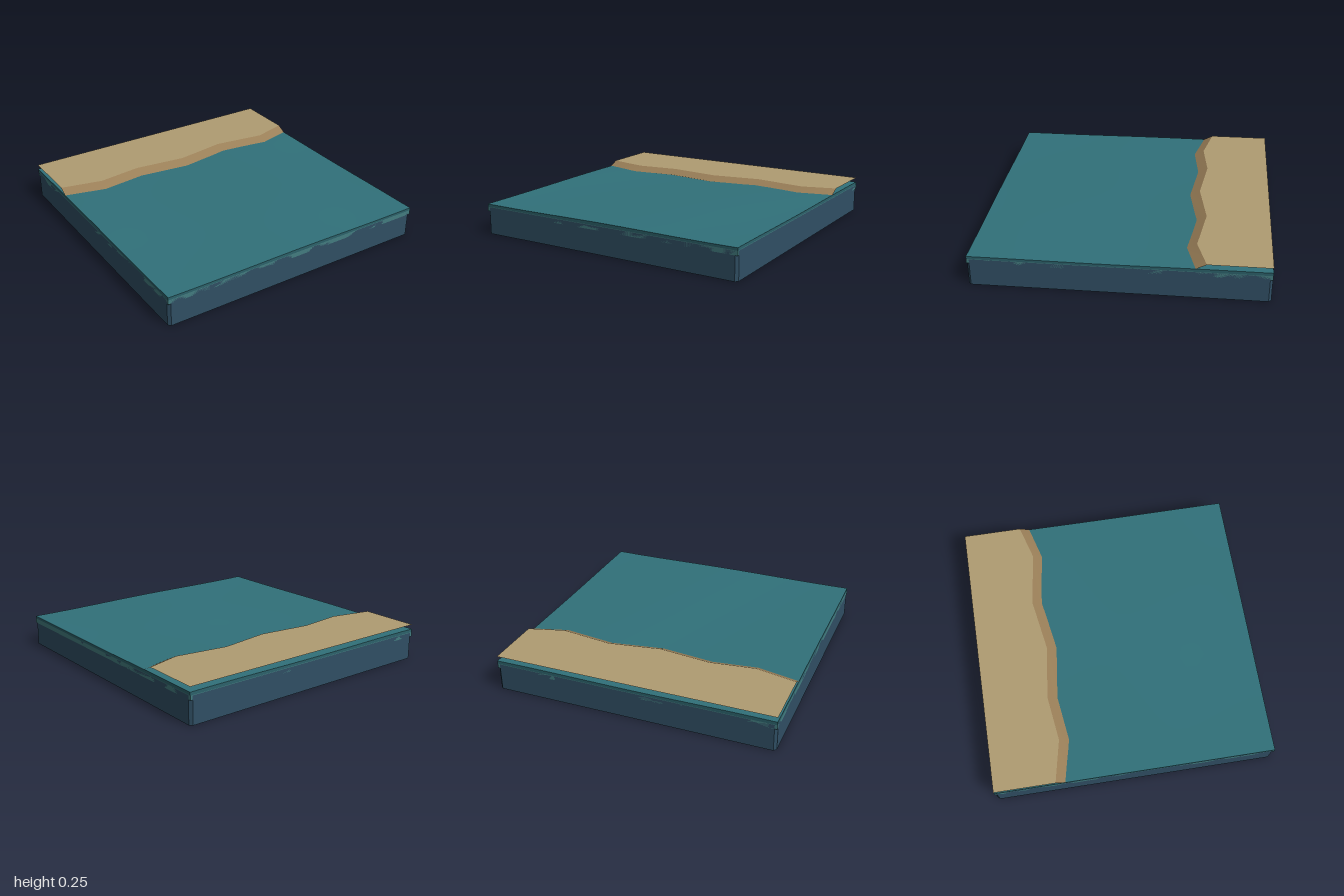
import * as THREE from 'three';

// Double-sided sheet spanning two rows of points
function strip(rowA, rowB) {
  const pos = [], idx = [];
  rowA.forEach((a, i) => {
    pos.push(...a, ...rowB[i]);
    if (i) {
      const k = 2 * i;
      idx.push(k - 2, k - 1, k, k, k - 1, k + 1);
    }
  });
  const g = new THREE.BufferGeometry();
  g.setAttribute('position', new THREE.Float32BufferAttribute(pos, 3));
  g.setIndex(idx);
  g.computeVertexNormals();
  return g;
}

export function createModel() {
  const root = new THREE.Group();
  const add = (name, geometry, color, options = {}) => {
    const mesh = new THREE.Mesh(geometry, new THREE.MeshStandardMaterial({ color, ...options }));
    mesh.name = name;
    root.add(mesh);
    return mesh;
  };
  const double = { side: THREE.DoubleSide };
  const wave = (x, z) => 0.219 + 0.003 * Math.sin(4 * x + 1.5 * z) + 0.001 * Math.sin(5 * z - 2 * x);

  // Square slab with narrow chamfered upright corners
  const c = 0.018;
  const outline = new THREE.Shape([
    [-1 + c, -1], [1 - c, -1], [1, -1 + c], [1, 1 - c],
    [1 - c, 1], [-1 + c, 1], [-1, 1 - c], [-1, -1 + c],
  ].map(([x, y]) => new THREE.Vector2(x, y)));
  const slab = new THREE.ExtrudeGeometry(outline, { depth: 0.195, bevelEnabled: false });
  slab.rotateX(-Math.PI / 2);
  add('base', slab, 0x304f64, { flatShading: true });

  // Gently rippled water surface
  const water = new THREE.PlaneGeometry(2, 2, 28, 28).rotateX(-Math.PI / 2);
  const p = water.attributes.position;
  for (let i = 0; i < p.count; i++) p.setY(i, wave(p.getX(i), p.getZ(i)));
  water.computeVertexNormals();
  add('waterSurface', water, 0x31717a, double);

  // Water edge on all four sides: pale lower band, deeper upper band
  const n = 28;
  for (let side = 0; side < 4; side++) {
    const a = side * Math.PI / 2;
    const row = (height) => Array.from({ length: n + 1 }, (_, i) => {
      const t = -1 + 2 * i / n;
      const x = t * Math.cos(a) + Math.sin(a), z = Math.cos(a) - t * Math.sin(a);
      return [x, height ?? wave(x, z), z];
    });
    add('waterRim' + side, strip(row(), row(0.198)), 0x2c626b, double);
    add('waterBand' + side, strip(row(0.198), row(0.166)), 0x437d80, double);
  }

  // Raised beach sheet with a zigzag shoreline sloping into the water
  const shore = [[-1, -0.565], [-0.7, -0.5], [-0.38, -0.54], [0, -0.495], [0.37, -0.555], [0.75, -0.503], [1, -0.575]];
  const top = 0.255;
  const back = shore.map(([x]) => [x, top, -1]);
  const crest = shore.map(([x, z]) => [x, top, z]);
  const foot = shore.map(([x, z]) => [x, 0.22, z + 0.07]);
  add('beach', strip(back, crest), 0xb09c72, double);
  add('shoreSlope', strip(crest, foot), 0x9a7f58, double);

  return root;
}
